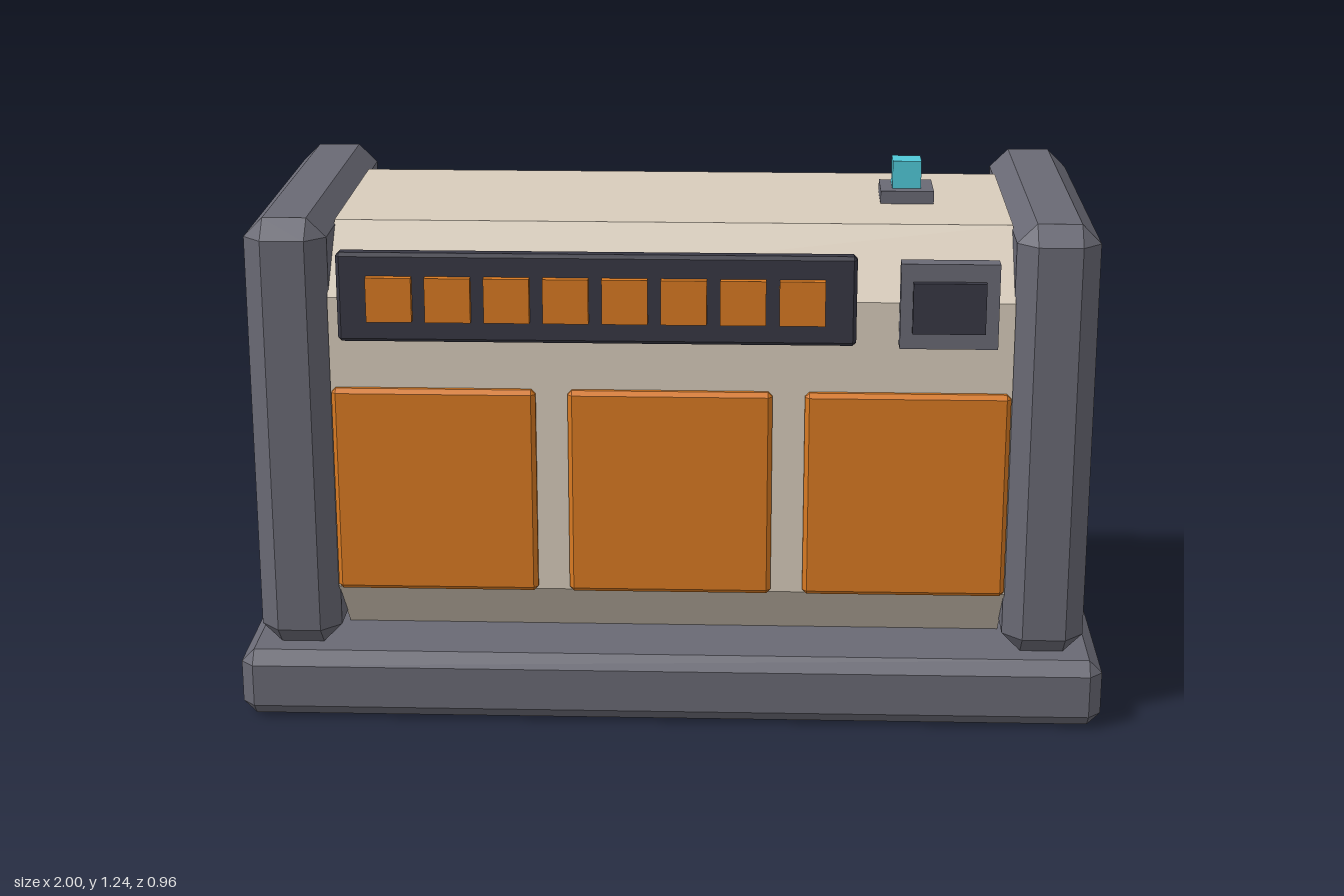
import * as THREE from 'three';
import { ConvexGeometry } from 'three/addons/geometries/ConvexGeometry.js';

const paint = (name, color) => {
  const m = new THREE.MeshStandardMaterial({ color });
  m.name = name;
  return m;
};

// Box with flat chamfers of width c on every edge
function chamferBox(w, h, d, c) {
  const half = [w / 2, h / 2, d / 2];
  const points = [];
  for (const sx of [-1, 1]) for (const sy of [-1, 1]) for (const sz of [-1, 1]) {
    for (let full = 0; full < 3; full++) {
      const p = [sx, sy, sz].map((s, i) => s * (half[i] - (i === full ? 0 : c)));
      points.push(new THREE.Vector3(...p));
    }
  }
  return new ConvexGeometry(points);
}

export function createModel() {
  const grey = paint('frame grey', 0x696974);
  const beige = paint('shell beige', 0xd8ccbb);
  const orange = paint('panel orange', 0xd97a22);
  const dark = paint('display dark', 0x383844);
  const cyan = paint('beacon cyan', 0x50c8d8);

  const model = new THREE.Group();
  model.name = 'console';

  // Adds a box given by its [min, max] range on each axis; c is the chamfer
  function block(name, material, [x0, x1], [y0, y1], [z0, z1], c = 0) {
    const size = [x1 - x0, y1 - y0, z1 - z0];
    const geometry = c ? chamferBox(...size, c) : new THREE.BoxGeometry(...size);
    const mesh = new THREE.Mesh(geometry, material);
    mesh.position.set((x0 + x1) / 2, (y0 + y1) / 2, (z0 + z1) / 2);
    mesh.name = name;
    model.add(mesh);
  }

  // Plinth and the two end walls
  block('base', grey, [-1, 1], [0, 0.16], [-0.48, 0.48], 0.03);
  block('rightEndWall', grey, [-0.957, -0.77], [0.16, 1.18], [-0.44, 0.44], 0.044);
  block('leftEndWall', grey, [0.77, 0.957], [0.16, 1.18], [-0.44, 0.44], 0.044);

  // Eight-sided shell spanning the end walls
  const profile = new THREE.Shape([
    [-0.265, 0.16], [0.265, 0.16], [0.41, 0.305], [0.41, 1.0],
    [0.265, 1.145], [-0.265, 1.145], [-0.41, 1.0], [-0.41, 0.305],
  ].map(([z, y]) => new THREE.Vector2(z, y)));
  const shellGeometry = new THREE.ExtrudeGeometry(profile, { depth: 1.544, bevelEnabled: false });
  shellGeometry.translate(0, 0, -0.772).rotateY(Math.PI / 2);
  const shell = new THREE.Mesh(shellGeometry, beige);
  shell.name = 'shell';
  model.add(shell);

  // Three front doors
  for (const x of [-0.537, 0, 0.537]) {
    block('frontDoor', orange, [x - 0.232, x + 0.232], [0.305, 0.79], [0.395, 0.43], 0.01);
  }

  // Button strip
  block('buttonStrip', dark, [-0.745, 0.417], [0.907, 1.112], [0.405, 0.445], 0.008);
  for (let i = 0; i < 8; i++) {
    const x = -0.626 + i * 0.1317;
    block('button', orange, [x - 0.051, x + 0.051], [0.958, 1.06], [0.44, 0.463]);
  }

  // Small screen in its bezel
  block('screenBezel', grey, [0.513, 0.732], [0.905, 1.1], [0.41, 0.451]);
  block('screen', dark, [0.54, 0.702], [0.944, 1.06], [0.445, 0.468]);

  // Beacon on the roof
  block('beaconFoot', grey, [0.48, 0.604], [1.14, 1.175], [-0.063, 0.063]);
  block('beacon', cyan, [0.508, 0.575], [1.175, 1.24], [-0.033, 0.033]);

  return model;
}
